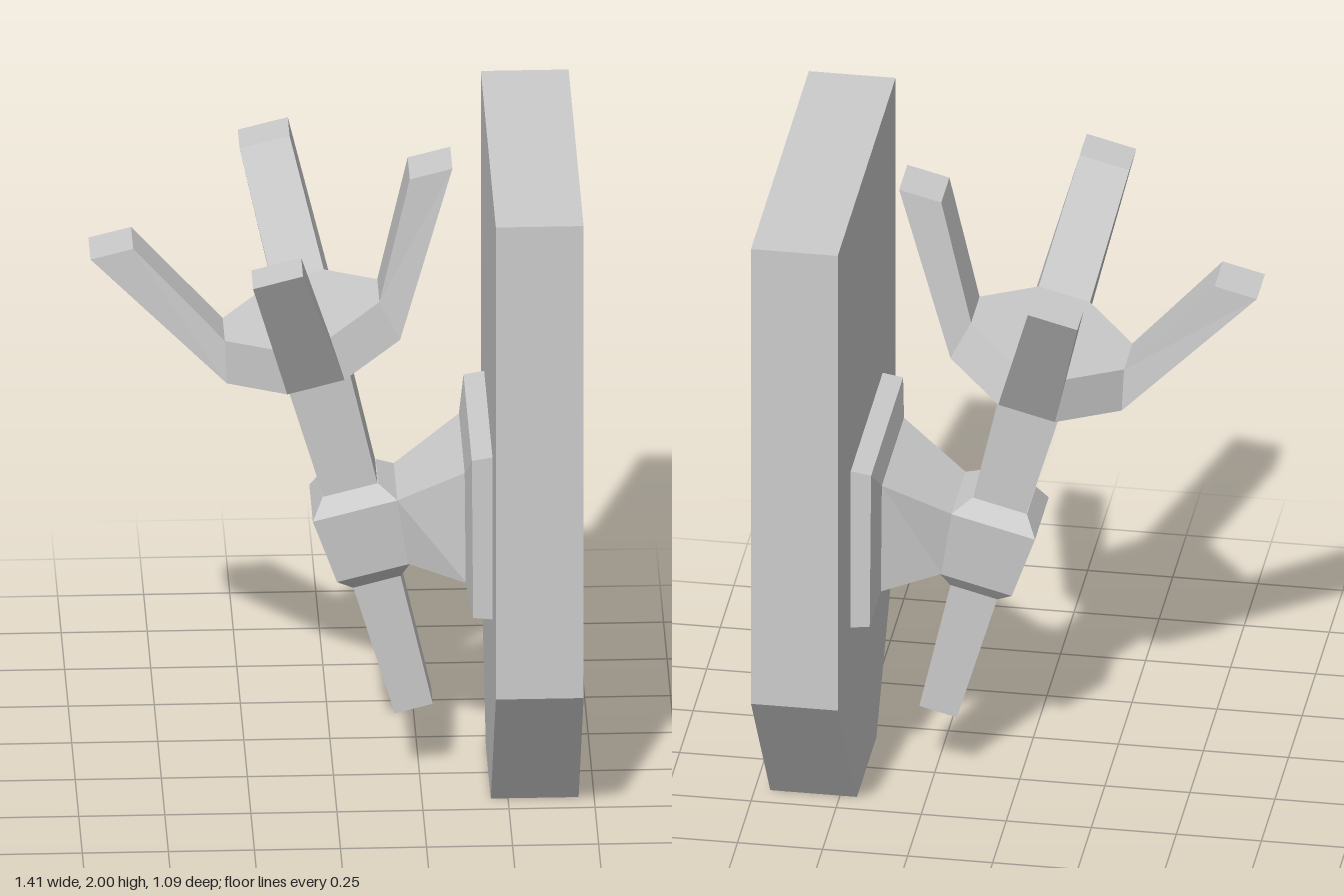
import * as THREE from 'three';

const material = new THREE.MeshStandardMaterial({ color: 0xcccccc, flatShading: true });

// Capped, flat-sided skin through matching convex rings (counter-clockwise about the travel direction)
function loft(name, rings) {
  const pos = [];
  const tri = (a, b, c) => pos.push(...a, ...b, ...c);
  const n = rings[0].length;
  for (let s = 0; s < rings.length - 1; s++) {
    const r0 = rings[s], r1 = rings[s + 1];
    for (let i = 0; i < n; i++) {
      const j = (i + 1) % n;
      tri(r0[i], r0[j], r1[j]);
      tri(r0[i], r1[j], r1[i]);
    }
  }
  const first = rings[0], last = rings[rings.length - 1];
  for (let i = 1; i < n - 1; i++) {
    tri(first[0], first[i + 1], first[i]);
    tri(last[0], last[i], last[i + 1]);
  }
  const geometry = new THREE.BufferGeometry();
  geometry.setAttribute('position', new THREE.Float32BufferAttribute(pos, 3));
  geometry.computeVertexNormals();
  const mesh = new THREE.Mesh(geometry, material);
  mesh.name = name;
  return mesh;
}

// Horizontal square and octagon rings, travelling up
const square = (y, h) => [[-h, y, h], [h, y, h], [h, y, -h], [-h, y, -h]];
const octagon = (y, w, h) => [
  [-h, y, w], [h, y, w], [w, y, h], [w, y, -h],
  [h, y, -w], [-h, y, -w], [-w, y, -h], [-w, y, h],
];
// Sideways rectangle from a top and a bottom [x, y] point, travelling along +x
const upright = (top, bottom, zTop, zBottom = zTop) => [
  [...top, -zTop], [...top, zTop], [...bottom, zBottom], [...bottom, -zBottom],
];

export function createModel() {
  const model = new THREE.Group();
  model.name = 'wallTorch';

  // Backing board with a chamfered lower end
  const outline = [[2, -0.533], [2, 0.533], [0.485, 0.533], [0, 0.178], [0, -0.178], [0.485, -0.533]];
  model.add(loft('backBoard', [0.45, 0.705].map((x) => outline.map(([y, z]) => [x, y, z]))));

  // Mounting plate with a bevelled face
  model.add(loft('mountPlate', [
    upright([0.373, 1.06], [0.376, 0.705], 0.205),
    upright([0.39, 1.14], [0.394, 0.636], 0.295),
    upright([0.45, 1.15], [0.45, 0.63], 0.295),
  ]));

  // Arm widening from the collar to the plate
  model.add(loft('arm', [
    upright([0.18, 0.938], [0.21, 0.726], 0.127, 0.108),
    upright([0.376, 1.06], [0.379, 0.705], 0.205),
  ]));

  // Tilted torch, built upright from its lower tip
  const torch = new THREE.Group();
  torch.name = 'torch';
  torch.position.set(0.231, 0.236, 0);
  torch.rotation.z = 0.2527;
  model.add(torch);

  torch.add(loft('handle', [square(0, 0.057), square(1.18, 0.095)]));
  torch.add(loft('collar', [
    square(0.43, 0.072), square(0.477, 0.109), square(0.692, 0.127), square(0.74, 0.083),
  ]));
  torch.add(loft('cupBase', [octagon(1.17, 0.26, 0.086), octagon(1.3, 0.232, 0.078)]));

  // Four prongs growing from alternate sides of the cup base
  for (let i = 0; i < 4; i++) {
    const prong = loft('prong', [
      upright([0.232, 1.3], [0.26, 1.17], 0.078, 0.086),
      upright([0.415, 1.656], [0.543, 1.656], 0.075),
    ]);
    prong.rotation.y = (i * Math.PI) / 2;
    torch.add(prong);
  }
  return model;
}
